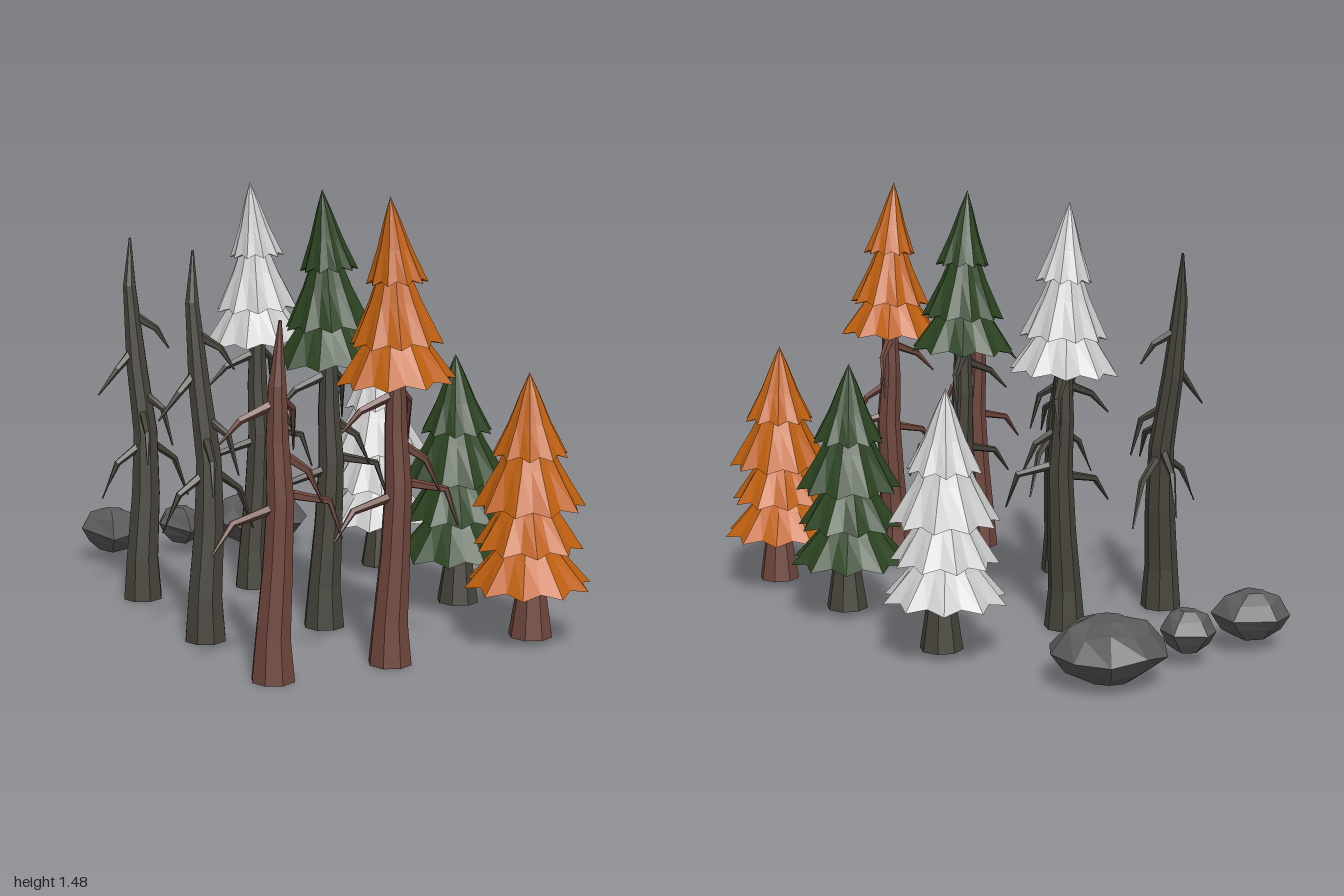
import * as THREE from 'three';

const V = (x, y, z) => new THREE.Vector3(x, y, z);
const material = (color) => new THREE.MeshStandardMaterial({ color, flatShading: true });

// Skin over a stack of rings, with a fan cap at each end
function loft(rings) {
  const n = rings[0].length, pos = [], index = [];
  const add = (p) => pos.push(p.x, p.y, p.z);
  rings.forEach((ring) => ring.forEach(add));
  for (let i = 0; i < rings.length - 1; i++) {
    for (let j = 0; j < n; j++) {
      const a = i * n + j, b = i * n + (j + 1) % n;
      index.push(a, a + n, b, b, a + n, b + n);
    }
  }
  [0, rings.length - 1].forEach((r, end) => {
    const centre = V(0, 0, 0);
    rings[r].forEach((p) => centre.addScaledVector(p, 1 / n));
    add(centre);
    const c = pos.length / 3 - 1;
    for (let j = 0; j < n; j++) {
      const a = r * n + j, b = r * n + (j + 1) % n;
      if (end) index.push(a, c, b); else index.push(a, b, c);
    }
  });
  const g = new THREE.BufferGeometry();
  g.setAttribute('position', new THREE.Float32BufferAttribute(pos, 3));
  g.setIndex(index);
  g.computeVertexNormals();
  return g;
}

// Tapering limb through points [x, y, z, radius]
function limb(points, sides) {
  const rings = points.map((p, i) => {
    const from = points[Math.max(i - 1, 0)], to = points[Math.min(i + 1, points.length - 1)];
    const t = V(to[0] - from[0], to[1] - from[1], to[2] - from[2]).normalize();
    const u = (Math.abs(t.y) > 0.8 ? V(1, 0, 0) : V(0, 1, 0)).cross(t).normalize();
    const w = u.clone().cross(t);
    return Array.from({ length: sides }, (_, k) => {
      const a = (k / sides) * Math.PI * 2;
      return V(p[0], p[1], p[2])
        .addScaledVector(u, Math.cos(a) * p[3]).addScaledVector(w, Math.sin(a) * p[3]);
    });
  });
  return loft(rings);
}

// Point on a trunk's centre line at a given height
function trunkAt(path, y) {
  const i = path.findIndex((p) => p[1] > y);
  const a = path[i - 1], b = path[i], t = (y - a[1]) / (b[1] - a[1]);
  return a.map((v, k) => v + (b[k] - v) * t);
}

function addMesh(parent, name, geometry, mat) {
  const mesh = new THREE.Mesh(geometry, mat);
  mesh.name = name;
  parent.add(mesh);
  return mesh;
}

// Trunk with kinked, drooping branches: [start height, kink, tip]
function barkTree(name, path, branches, mat) {
  const g = new THREE.Group();
  g.name = name;
  addMesh(g, 'trunk', limb(path, 8), mat);
  branches.forEach(([y, kink, tip]) => {
    const s = trunkAt(path, y);
    addMesh(g, 'branch', limb([[s[0], s[1], s[2], 0.018], [...kink, 0.012], [...tip, 0.003]], 5), mat);
  });
  return g;
}

// Pleated foliage skirts: [hem height, hem radius, top height, leaning x of top]
function foliage(layers, tilt, mat) {
  const g = new THREE.Group();
  g.name = 'foliage';
  layers.forEach(([hem, r, top, lean], k) => {
    const h = top - hem;
    const profile = [[0, 0.02], [r, 0], [r * 0.56, h * 0.4], [r * 0.25, h * 0.75], [0, h]];
    const geo = new THREE.LatheGeometry(profile.map((p) => new THREE.Vector2(...p)), 20);
    const p = geo.attributes.position;
    for (let i = 0; i < p.count; i++) {
      const inner = Math.floor(i / 5) % 2, level = i % 5;
      const s = inner ? (level === 1 ? 0.84 : 0.93) : 1;
      const y = p.getY(i) + (inner && level === 1 ? 0.014 : 0);
      p.setXYZ(i, p.getX(i) * s + lean * Math.max(0, y / h), y, p.getZ(i) * s);
    }
    geo.rotateY(k * 0.23);
    const mesh = addMesh(g, 'foliageLayer', geo, mat);
    mesh.position.y = hem + 0.005;
    mesh.rotation.z = tilt;
  });
  return g;
}

const trunkPath = [
  [-0.05, 0, 0.01, 0.072], [-0.05, 0.14, 0.01, 0.058], [-0.035, 0.35, 0.01, 0.05],
  [-0.025, 0.57, 0.01, 0.045], [-0.03, 0.75, 0, 0.038], [-0.03, 0.92, 0, 0.03], [-0.02, 1.12, 0, 0.005],
];
const trunkBranches = [
  [0.55, [-0.19, 0.51, 0.02], [-0.265, 0.42, 0.035]],
  [0.87, [-0.15, 0.82, -0.01], [-0.215, 0.75, -0.02]],
  [0.89, [0.06, 0.83, -0.08], [0.09, 0.69, -0.14]],
  [0.59, [0.12, 0.56, 0.06], [0.15, 0.445, 0.085]],
  [0.72, [0.05, 0.66, 0.05], [0.09, 0.56, 0.07]],
];
const oldPath = [
  [-0.48, 0, -0.01, 0.072], [-0.48, 0.15, -0.01, 0.06], [-0.46, 0.38, -0.02, 0.053],
  [-0.455, 0.6, -0.03, 0.045], [-0.475, 0.85, -0.06, 0.038], [-0.49, 1.12, -0.08, 0.024],
  [-0.478, 1.29, -0.1, 0.004],
];
const oldBranches = [
  [0.6, [-0.41, 0.52, -0.14], [-0.36, 0.39, -0.22]],
  [0.58, [-0.33, 0.49, -0.07], [-0.265, 0.34, -0.1]],
  [0.68, [-0.5, 0.62, 0.11], [-0.52, 0.52, 0.16]],
  [0.57, [-0.57, 0.5, -0.01], [-0.625, 0.375, -0.02]],
  [0.9, [-0.55, 0.83, -0.05], [-0.62, 0.74, -0.06]],
  [1.02, [-0.41, 0.97, -0.03], [-0.37, 0.9, -0.01]],
  [0.75, [-0.41, 0.69, 0.03], [-0.385, 0.56, 0.055]],
];
const tallLayers = [[0.9, 0.192, 1.2, 0], [1.02, 0.15, 1.36, 0], [1.21, 0.097, 1.48, -0.02]];
const shortLayers = [
  [0.19, 0.213, 0.46, 0], [0.32, 0.182, 0.62, 0], [0.455, 0.186, 0.8, 0], [0.625, 0.128, 0.9, -0.005],
];

// Boulder lofted from a plan outline [x, z]
function rock(name, outline, bottom, top, mat) {
  const n = outline.length;
  const cx = outline.reduce((s, p) => s + p[0], 0) / n, cz = outline.reduce((s, p) => s + p[1], 0) / n;
  const levels = [[0, 0.4], [0.22, 0.75], [0.5, 1], [0.84, 0.68], [0.99, 0.3]];
  const rings = levels.map(([t, s], k) => outline.map(([x, z], i) => {
    const wobble = k % 4 ? Math.sin(i * 2.4 + k * 1.7) * 0.06 : 0;
    return V(cx + (x - cx) * s, bottom + (top - bottom) * (t + wobble), cz + (z - cz) * s);
  }));
  const mesh = new THREE.Mesh(loft(rings), mat);
  mesh.name = name;
  return mesh;
}

export function createModel() {
  const model = new THREE.Group();
  model.name = 'forestSet';
  const redBark = material(0x6e463c), darkBark = material(0x45433a), stone = material(0x5a5a5a);

  // Three rows of trees, each with a bare, a tall and a short tree
  [
    ['autumn', 0.79, redBark, material(0xc0600f)],
    ['summer', 0.315, darkBark, material(0x2b4320)],
    ['winter', -0.27, darkBark, material(0xcccccc)],
  ].forEach(([season, z, bark, leaves]) => {
    const row = new THREE.Group();
    row.name = season + 'Row';
    row.position.z = z;

    const red = bark === redBark;
    const bare = barkTree('bareTree', red ? trunkPath : oldPath, red ? trunkBranches : oldBranches, bark);
    if (red) bare.position.x = -0.41;

    const tall = barkTree('tallTree', trunkPath, trunkBranches, bark);
    const crown = foliage(tallLayers, 0.05, leaves);
    crown.position.x = -0.03;
    tall.add(crown);

    const short = new THREE.Group();
    short.name = 'shortTree';
    addMesh(short, 'trunk', limb([[0.475, 0.025, 0.01, 0.074], [0.475, 0.18, 0.01, 0.05], [0.465, 0.4, 0, 0.03]], 8), bark);
    const skirt = foliage(shortLayers, 0.02, leaves);
    skirt.position.x = 0.467;
    short.add(skirt);

    row.add(bare, tall, short);
    model.add(row);
  });

  // Boulders along the back, outlines running round in one direction
  const round = Array.from({ length: 10 }, (_, i) => {
    const a = -(i / 10) * Math.PI * 2 - 0.3;
    return [0.215 + Math.cos(a) * 0.195, -0.81 + Math.sin(a) * 0.195];
  });
  model.add(
    rock('largeRock', round, 0.02, 0.22, stone),
    rock('mediumRock', [[-0.4, -0.95], [-0.49, -0.92], [-0.51, -0.86], [-0.44, -0.69], [-0.28, -0.755], [-0.265, -0.88]], 0.045, 0.205, stone),
    rock('smallRock', [[-0.115, -0.92], [-0.18, -0.89], [-0.2, -0.83], [-0.12, -0.7], [-0.035, -0.775], [-0.02, -0.86]], 0.05, 0.19, stone),
  );

  // Loft winding check: every boulder and limb must face outward
  model.traverse((o) => {
    if (!o.isMesh || o.name.startsWith('foliage')) return;
    const p = o.geometry.attributes.position, ix = o.geometry.index, a = V(), b = V(), c = V();
    let volume = 0;
    for (let i = 0; i < ix.count; i += 3) {
      [a, b, c].forEach((v, k) => v.fromBufferAttribute(p, ix.getX(i + k)));
      volume += a.dot(b.cross(c));
    }
    if (volume < 0) {
      const flipped = Array.from(ix.array).reverse();
      o.geometry.setIndex(flipped);
      o.geometry.computeVertexNormals();
    }
  });
  return model;
}
